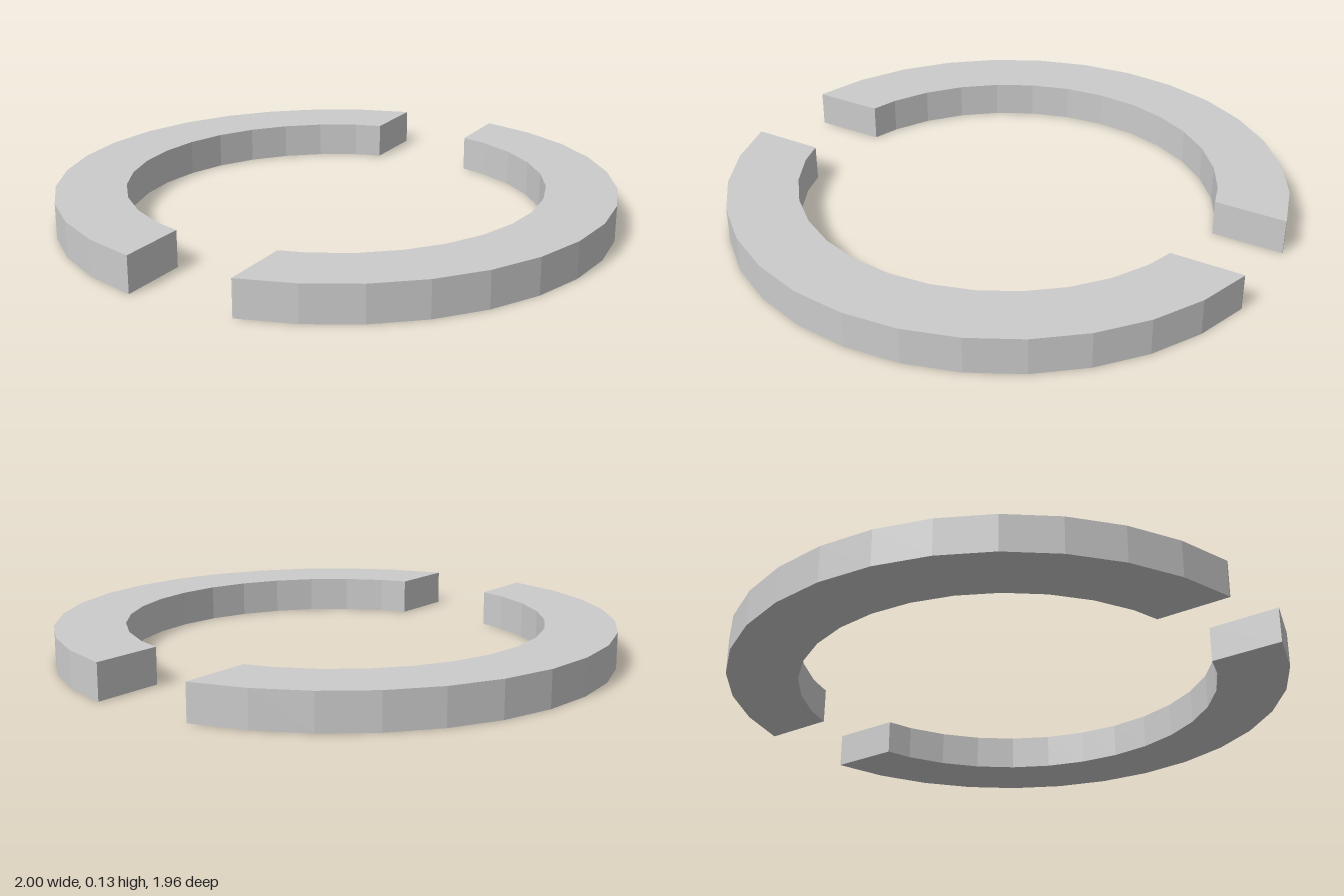
import * as THREE from 'three';

const SIDES = 32, OUTER = 1, INNER = 0.75, HEIGHT = 0.128, GAP = 0.19; // GAP: half width of the slot

// Half of a regular polygon, its ends cut straight at x = GAP
function cutArc(radius) {
  const corner = (k) => {
    const a = (k / SIDES) * Math.PI * 2;
    return new THREE.Vector2(radius * Math.cos(a), radius * Math.sin(a));
  };
  let last = 0;
  while (corner(last + 1).x > GAP) last++;
  const a = corner(last), b = corner(last + 1);
  const end = a.clone().lerp(b, (a.x - GAP) / (a.x - b.x));
  const points = [new THREE.Vector2(end.x, -end.y)];
  for (let k = -last; k <= last; k++) points.push(corner(k));
  points.push(end);
  return points;
}

export function createModel() {
  const group = new THREE.Group();
  group.name = 'splitRing';
  const material = new THREE.MeshStandardMaterial({ color: 0xcccccc, flatShading: true });

  // Half ring, extruded upwards
  const outline = new THREE.Shape([...cutArc(OUTER), ...cutArc(INNER).reverse()]);
  const geometry = new THREE.ExtrudeGeometry(outline, { depth: HEIGHT, bevelEnabled: false });
  geometry.rotateX(-Math.PI / 2);

  // The two halves face each other across the slot
  ['leftHalfRing', 'rightHalfRing'].forEach((name, i) => {
    const half = new THREE.Mesh(geometry, material);
    half.name = name;
    half.rotation.y = i * Math.PI;
    group.add(half);
  });
  return group;
}
